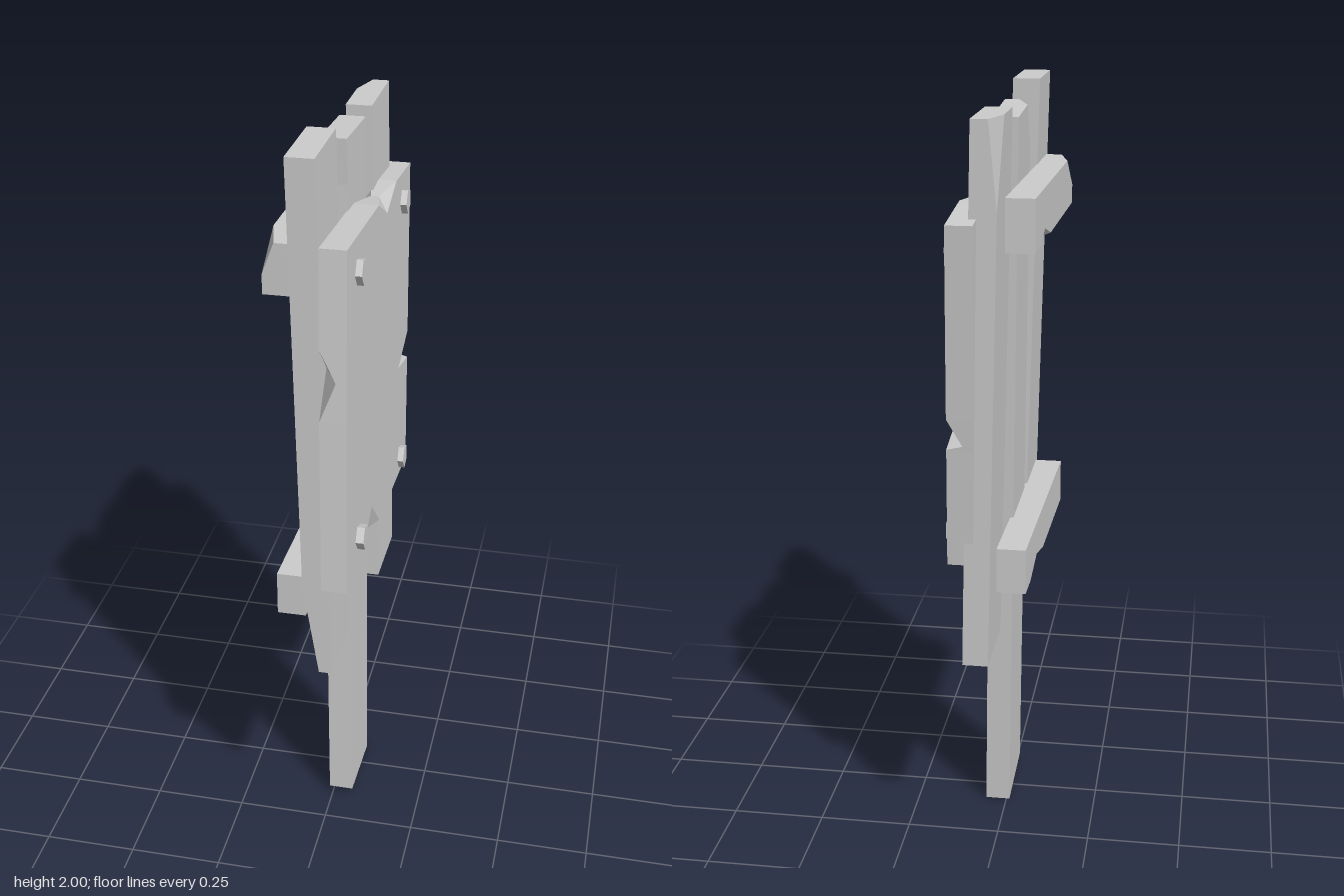
import * as THREE from 'three';

const material = new THREE.MeshStandardMaterial({ color: 0xcccccc, flatShading: true });

// A board lying in the z-y plane, facing +x. Outline runs clockwise as seen from +x.
// Each point: [z, y, frontDip, backDip, innerZ, innerY]. A dip chips the edge there;
// the optional inner point is where the chip ends on the board's face.
function board(name, outline, x0, thickness, ySlope, zSlope = 0) {
  const pos = [];
  const backX = (z, y) => x0 + ySlope * y + zSlope * z;
  const at = (p, front) => {
    const dip = (front ? p[2] : p[3]) || 0;
    return [backX(p[0], p[1]) + (front ? thickness - dip : dip), p[1], p[0]];
  };
  const n = outline.length;
  const faceTriangle = (a, b, c, front) => {
    const area = (a[0] - b[0]) * (c[1] - a[1]) - (b[1] - a[1]) * (a[0] - c[0]);
    const tri = (area > 0) === front ? [a, b, c] : [a, c, b];
    tri.forEach(p => pos.push(...at(p, front)));
  };
  for (const front of [true, false]) {
    const face = [];
    outline.forEach((p, i) => {
      const prev = outline[(i + n - 1) % n], next = outline[(i + 1) % n];
      if (!(front ? p[2] : p[3])) {
        face.push(p);
      } else if (p.length > 4) {
        const inner = [p[4], p[5]];
        face.push(inner);
        faceTriangle(prev, p, inner, front);
        faceTriangle(p, next, inner, front);
      } else {
        faceTriangle(prev, p, next, front);
      }
    });
    const flat = face.map(p => new THREE.Vector2(-p[0], p[1]));
    for (const [a, b, c] of THREE.ShapeUtils.triangulateShape(flat, [])) {
      faceTriangle(face[a], face[b], face[c], front);
    }
  }
  // rim
  outline.forEach((p, i) => {
    const q = outline[(i + 1) % n];
    const [pf, qf, qb, pb] = [at(p, true), at(q, true), at(q, false), at(p, false)];
    pos.push(...pf, ...qf, ...qb, ...pf, ...qb, ...pb);
  });
  const geometry = new THREE.BufferGeometry();
  geometry.setAttribute('position', new THREE.Float32BufferAttribute(pos, 3));
  geometry.computeVertexNormals();
  const mesh = new THREE.Mesh(geometry, material);
  mesh.name = name;
  return mesh;
}

export function createModel() {
  const group = new THREE.Group();
  group.name = 'woodenSign';

  // three upright planks, each with one chipped back corner
  group.add(board('frontPlank', [
    [0.36, 2], [0.135, 2], [0.15, 0.61], [0.26, 0.612], [0.38, 0.615, 0, 0.035], [0.376, 0.88],
  ], -0.003, 0.07, -0.028));
  group.add(board('postPlank', [
    [0.068, 1.84], [0.07, 1.955, 0, 0.03], [0, 1.95], [-0.16, 1.94], [-0.08, 0], [0.145, 0.02],
  ], -0.009, 0.067, -0.018));
  group.add(board('rearPlank', [
    [-0.17, 1.965], [-0.31, 1.965], [-0.4, 1.965, 0, 0.025], [-0.397, 1.75], [-0.38, 0.575], [-0.155, 0.58],
  ], 0.019, 0.067, -0.025));

  // large face panel with chips along its edges
  group.add(board('panel', [
    [0.38, 1.8], [0, 1.77], [-0.13, 1.745, 0.025, 0.02, -0.11, 1.71], [-0.24, 1.75], [-0.45, 1.73],
    [-0.412, 1.25], [-0.406, 1.18, 0.04, 0, -0.265, 1.2], [-0.405, 1.17], [-0.38, 0.855],
    [0.03, 0.885], [0.14, 0.905, 0.03, 0, 0.13, 0.985], [0.29, 0.912], [0.455, 0.925],
    [0.422, 1.38], [0.412, 1.48, 0, 0.04, 0.33, 1.48], [0.404, 1.56],
  ], 0.057, 0.066, -0.019));

  // cross battens on the back
  group.add(board('upperBatten', [
    [0.32, 1.7], [0.32, 1.78, 0, 0.03], [0.21, 1.78], [-0.36, 1.78], [-0.36, 1.65],
    [-0.27, 1.65], [-0.2, 1.655, 0, 0.02, -0.2, 1.68], [-0.1, 1.65], [0.32, 1.65],
  ], -0.119, 0.072, 0, -0.025));
  group.add(board('lowerBatten', [
    [0.345, 0.885], [-0.335, 0.885], [-0.335, 0.765],
    [-0.25, 0.765], [-0.14, 0.77, 0, 0.02, -0.14, 0.795], [-0.02, 0.765], [0.345, 0.765],
  ], -0.094, 0.075, 0, -0.022));

  // five-sided bolts
  const boltGeometry = new THREE.CylinderGeometry(0.034, 0.034, 0.04, 5);
  const bolts = [[0.087, 1.705, 0.265], [0.088, 1.665, -0.33], [0.104, 1.005, 0.31], [0.102, 0.915, -0.28]];
  bolts.forEach(([x, y, z], i) => {
    const bolt = new THREE.Mesh(boltGeometry, material);
    bolt.name = `bolt${i + 1}`;
    bolt.position.set(x, y, z);
    bolt.rotation.z = -Math.PI / 2 + 0.02;
    group.add(bolt);
  });
  return group;
}
